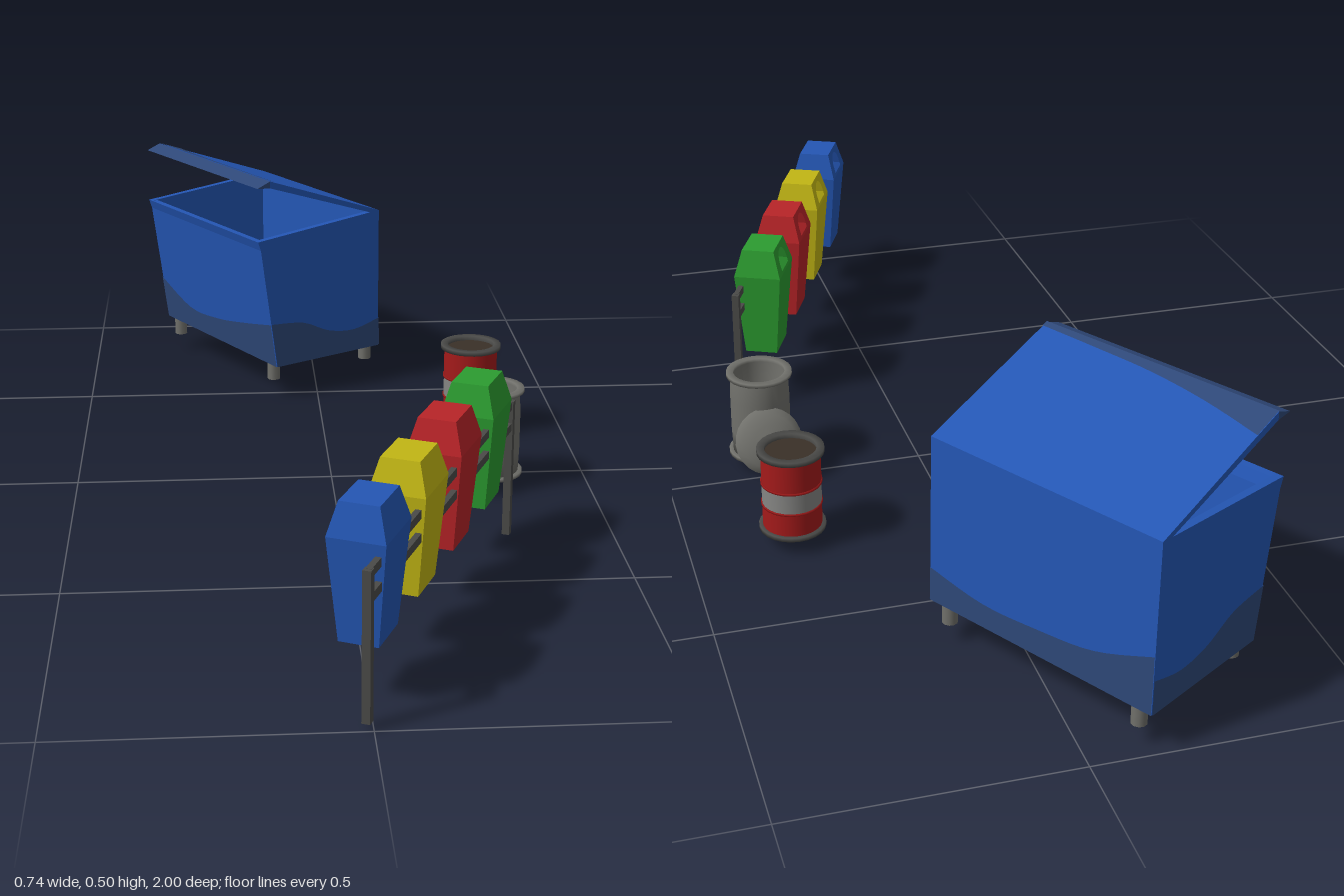
import * as THREE from 'three';

const mat = (name, color) => {
  const m = new THREE.MeshStandardMaterial({ color, side: THREE.DoubleSide });
  m.name = name;
  return m;
};

export function createModel() {
  const blue = mat('blue paint', 0x2456b4), grime = mat('grimy blue', 0x2e4878);
  const yellow = mat('yellow paint', 0xc2b614), red = mat('red paint', 0xb82428);
  const green = mat('green paint', 0x2c9c30), steel = mat('grey steel', 0x70706b);
  const iron = mat('dark iron', 0x4a4a48), drumRed = mat('drum red', 0xa31a1a);
  const rust = mat('dark brown', 0x3a3028), band = mat('light grey', 0x858583);

  const root = new THREE.Group();
  const group = (name, parent, x, y, z, ry = 0) => {
    const g = new THREE.Group();
    g.name = name;
    g.position.set(x, y, z);
    g.rotation.y = ry;
    parent.add(g);
    return g;
  };
  const add = (name, parent, geo, material, x = 0, y = 0, z = 0) => {
    const m = new THREE.Mesh(geo, material);
    m.name = name;
    m.position.set(x, y, z);
    parent.add(m);
    return m;
  };
  const shapeOf = pts => new THREE.Shape(pts.map(p => new THREE.Vector2(...p)));
  // Extrudes a (z, y) profile along x, centred
  const slab = (pts, width) => new THREE.ExtrudeGeometry(shapeOf(pts), { depth: width, bevelEnabled: false })
    .translate(0, 0, -width / 2).rotateY(-Math.PI / 2);
  const lathe = (pts, n = 24) => new THREE.LatheGeometry(pts.map(p => new THREE.Vector2(...p)), n);
  // Flat patch with a wavy upper edge running from x0 to x1
  const stain = (x0, x1, heights, lean = 0) => {
    const n = heights.length - 1;
    const curve = new THREE.SplineCurve(heights.map((h, i) =>
      new THREE.Vector2(x0 + (x1 - x0) * i / n + (i === n ? lean * h : 0), h)));
    return new THREE.ShapeGeometry(new THREE.Shape(
      [new THREE.Vector2(x1, 0), new THREE.Vector2(x0, 0), ...curve.getPoints(20)]));
  };

  // Dumpster: open shell, two side plates, raised lid, feet
  const dumpster = group('dumpster', root, -0.1125, 0, -0.716, -1.022);
  const W = 0.465, T = 0.014;
  add('dumpsterShell', dumpster, slab([[-0.158, 0.39], [-0.158, 0.075], [0.116, 0.075], [0.155, 0.345],
    [0.162, 0.365], [0.148, 0.365], [0.141, 0.345], [0.103, 0.089], [-0.144, 0.089], [-0.144, 0.39]],
  W - 2 * T), blue);
  const side = slab([[-0.158, 0.075], [0.116, 0.075], [0.155, 0.345], [0.162, 0.365], [-0.158, 0.39]], T);
  const sideStain = stain(-0.158, 0.116, [0.065, 0.05, 0.06, 0.09, 0.1], 0.144);
  for (const s of [-1, 1]) {
    add('dumpsterSide', dumpster, side, blue, s * (W - T) / 2);
    add('sideGrime', dumpster, sideStain, grime, s * (W / 2 + 0.0015), 0.075, 0).rotation.y = -Math.PI / 2;
    for (const z of [-0.144, 0.104]) {
      add('dumpsterFoot', dumpster, new THREE.CylinderGeometry(0.014, 0.014, 0.04, 10), steel, s * 0.2, 0.058, z);
    }
  }
  add('frontGrime', dumpster, stain(-W / 2, W / 2, [0.1, 0.052, 0.055, 0.075, 0.1]), grime,
    0, 0.075, 0.1178).rotation.x = 0.1435;
  add('backGrime', dumpster, stain(-W / 2, W / 2, [0.065, 0.045, 0.05, 0.065, 0.11]), grime,
    0, 0.075, -0.1595).rotation.y = Math.PI;
  add('dumpsterLid', dumpster, slab([[-0.158, 0.39], [-0.14, 0.386], [0.13, 0.479], [0.13, 0.494]], W), blue);
  add('lidLip', dumpster, slab([[0.13, 0.494], [0.13, 0.479], [0.162, 0.482]], W), grime);
  const lidStain = add('lidGrime', dumpster, stain(-W / 2, W / 2, [0.06, 0.035, 0.02, 0.015, 0.012]), grime,
    0, 0.4955, 0.13);
  lidStain.rotation.x = -Math.PI / 2 - 0.346;

  // Rack: two posts and two rails
  const rack = group('binRack', root, 0.1475, 0, 0.6425, -1.996);
  add('rackPost', rack, new THREE.BoxGeometry(0.014, 0.25, 0.014), iron, 0.381, 0.135, 0);
  add('rackPost', rack, new THREE.BoxGeometry(0.014, 0.26, 0.014), iron, -0.381, 0.13, 0);
  for (const y of [0.253, 0.212]) {
    add('rackRail', rack, new THREE.BoxGeometry(0.762, 0.015, 0.01), iron, 0, y, 0);
  }

  // Hanging bins: tapered four-sided body, arched opening in the sloping front
  const levels = [[0.105, 0.044, 0.033], [0.28, 0.058, 0.048], [0.335, 0.044, 0.033]];
  const verts = [], idx = [0, 3, 2, 0, 2, 1, 8, 9, 10, 8, 10, 11];
  for (const [y, w, d] of levels) {
    for (const [sx, sz] of [[-1, 1], [1, 1], [1, -1], [-1, -1]]) verts.push(sx * w, y, sz * d);
  }
  for (let l = 0; l < 2; l++) {
    for (let i = 0; i < 4; i++) {
      if (l === 1 && i === 0) continue;
      const a = l * 4 + i, b = l * 4 + (i + 1) % 4;
      idx.push(a, b, b + 4, a, b + 4, a + 4);
    }
  }
  let binGeo = new THREE.BufferGeometry();
  binGeo.setAttribute('position', new THREE.Float32BufferAttribute(verts, 3));
  binGeo.setIndex(idx);
  binGeo = binGeo.toNonIndexed();
  binGeo.computeVertexNormals();
  const hood = shapeOf([[-0.058, 0], [0.058, 0], [0.044, 0.057], [-0.044, 0.057]]);
  const arch = new THREE.Path();
  arch.moveTo(-0.027, 0.006);
  arch.lineTo(-0.027, 0.02);
  arch.absarc(0, 0.02, 0.027, Math.PI, 0, true);
  arch.lineTo(0.027, 0.006);
  hood.holes.push(arch);
  const hoodGeo = new THREE.ShapeGeometry(hood);
  [blue, yellow, red, green].forEach((m, i) => {
    const bin = group('hangingBin', rack, 0.281 - i * 0.1873, 0, 0.035);
    add('binBody', bin, binGeo, m);
    add('binHood', bin, hoodGeo, m, 0, 0.28, 0.048).rotation.x = -0.266;
  });

  // Grey can, open at the top, with its domed lid leaning behind it
  const can = group('trashCan', root, 0.305, 0, 0.06);
  add('canBody', can, lathe([[0, 0.032], [0.056, 0.032], [0.058, 0.08], [0.058, 0.15], [0.056, 0.198],
    [0.051, 0.198], [0.051, 0.045], [0, 0.045]]), steel);
  const rim = (r0, r1, y0, y1) => lathe([[r0, y0], [r1, y0], [r1, y1], [r0, y1], [r0, y0]]);
  add('canTopRim', can, rim(0.05, 0.064, 0.197, 0.204), steel);
  add('canBottomRim', can, rim(0.05, 0.064, 0.029, 0.036), steel);
  const lid = add('canLid', can, lathe([[0, 0.014], [0.03, 0.011], [0.052, 0.004], [0.065, -0.006],
    [0.062, -0.01], [0.05, -0.003], [0, 0.007]]), steel, 0, 0.093, -0.086);
  lid.rotation.x = -1.126;

  // Red drum with a pale middle band and dark ends
  const drum = group('drum', root, 0.305, 0, -0.235);
  const tube = (r, y0, y1) => new THREE.CylinderGeometry(r, r, y1 - y0, 24, 1, true).translate(0, (y0 + y1) / 2, 0);
  add('drumLower', drum, tube(0.055, 0.035, 0.083), drumRed);
  add('drumBand', drum, tube(0.055, 0.083, 0.126), band);
  add('drumUpper', drum, tube(0.055, 0.126, 0.188), drumRed);
  for (const y of [0.083, 0.126]) add('drumRidge', drum, rim(0.054, 0.057, y - 0.002, y + 0.002), drumRed);
  add('drumTopRim', drum, rim(0.048, 0.062, 0.186, 0.195), iron);
  add('drumBottomRim', drum, rim(0.048, 0.062, 0.03, 0.038), iron);
  for (const y of [0.184, 0.034]) {
    add('drumEnd', drum, new THREE.CylinderGeometry(0.053, 0.053, 0.004, 24), rust, 0, y, 0);
  }
  return root;
}
